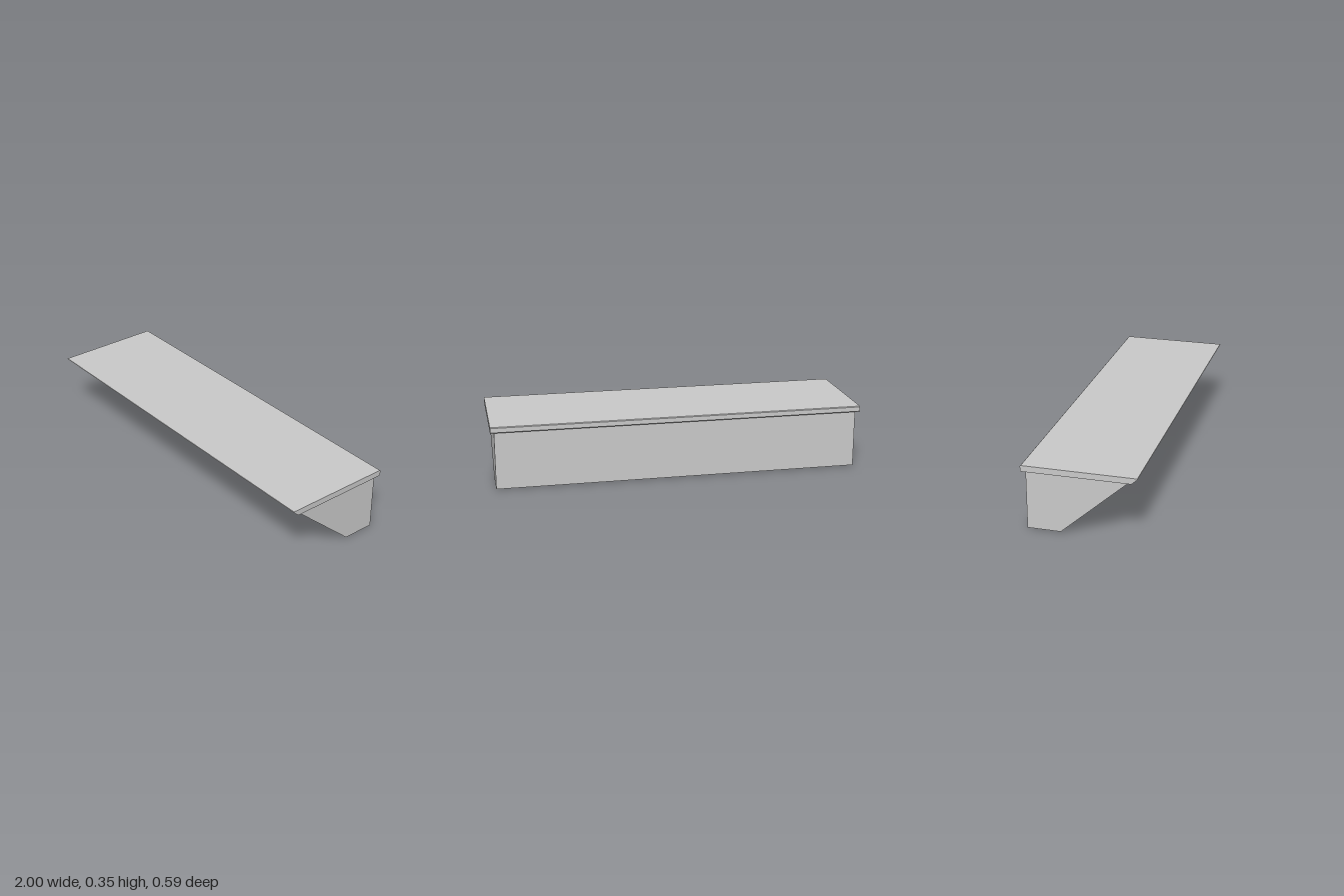
import * as THREE from 'three';
import { ConvexGeometry } from 'three/addons/geometries/ConvexGeometry.js';

const material = new THREE.MeshStandardMaterial({ color: 0xcccccc, flatShading: true });

// Depth of the slanted front at height y
const slant = (y) => -0.1 + (y - 0.003) * 1.122;

// Extrudes a [z, y] profile along x from x0 to x1
function prism(name, profile, x0, x1) {
  const shape = new THREE.Shape(profile.map(([z, y]) => new THREE.Vector2(z, y)));
  const geometry = new THREE.ExtrudeGeometry(shape, { depth: x1 - x0, bevelEnabled: false });
  geometry.rotateY(-Math.PI / 2).translate(x1, 0, 0);
  const mesh = new THREE.Mesh(geometry, material);
  mesh.name = name;
  return mesh;
}

export function createModel() {
  const group = new THREE.Group();
  group.name = 'wallShelfUnit';

  const back = -0.272, low = 0.003, high = 0.316;
  const slotLow = 0.195, slotHigh = 0.285, slotDepth = 0.04;
  const recessTop = 0.16, recessBack = -0.19;
  const inner = 0.49, outer = 0.88, side = 0.98;

  // Profile pieces shared by the body sections
  const slot = [
    [slant(slotLow), slotLow], [slant(slotLow) - slotDepth, slotLow],
    [slant(slotHigh) - slotDepth, slotHigh], [slant(slotHigh), slotHigh],
  ];
  const top = [[slant(high), high], [back, high]];
  const solid = [[back, low], [slant(low), low], ...top];
  const slotted = [[back, low], [slant(low), low], ...slot, ...top];
  const recessed = [
    [back, low], [recessBack, low], [recessBack, recessTop],
    [slant(recessTop), recessTop], ...slot, ...top,
  ];

  // Middle of the body, with the long slot and the open recess below it
  group.add(prism('bodyCentre', recessed, -inner, inner));

  for (const s of [-1, 1]) {
    const label = s > 0 ? 'left' : 'right';
    const span = (a, b) => (s > 0 ? [a, b] : [-b, -a]);
    group.add(prism(label + 'BodySection', slotted, ...span(inner, outer)));
    group.add(prism(label + 'BodyEnd', solid, ...span(outer, side)));

    // Raised panel with bevelled edges on the lower front
    const points = [];
    for (const x of [inner, outer]) {
      for (const y of [low, recessTop]) points.push(new THREE.Vector3(s * x, y, slant(y)));
    }
    for (const x of [inner + 0.006, outer - 0.012]) {
      points.push(new THREE.Vector3(s * x, 0.004, -0.085));
      points.push(new THREE.Vector3(s * x, 0.142, 0.071));
    }
    const panel = new THREE.Mesh(new ConvexGeometry(points), material);
    panel.name = label + 'Panel';
    group.add(panel);

    // Thin pad under the body
    const pad = new THREE.Mesh(new THREE.BoxGeometry(0.4, 0.004, 0.1), material);
    pad.name = label + 'Pad';
    pad.position.set(s * 0.71, 0.002, -0.183);
    group.add(pad);
  }

  // Overhanging top slab with a raked front and softened back edges
  group.add(prism('topSlab', [
    [-0.289, 0.315], [0.262, 0.315], [0.267, 0.318], [0.295, 0.344], [0.293, 0.347],
    [-0.289, 0.347], [-0.293, 0.343], [-0.293, 0.319],
  ], -1, 1));

  return group;
}
